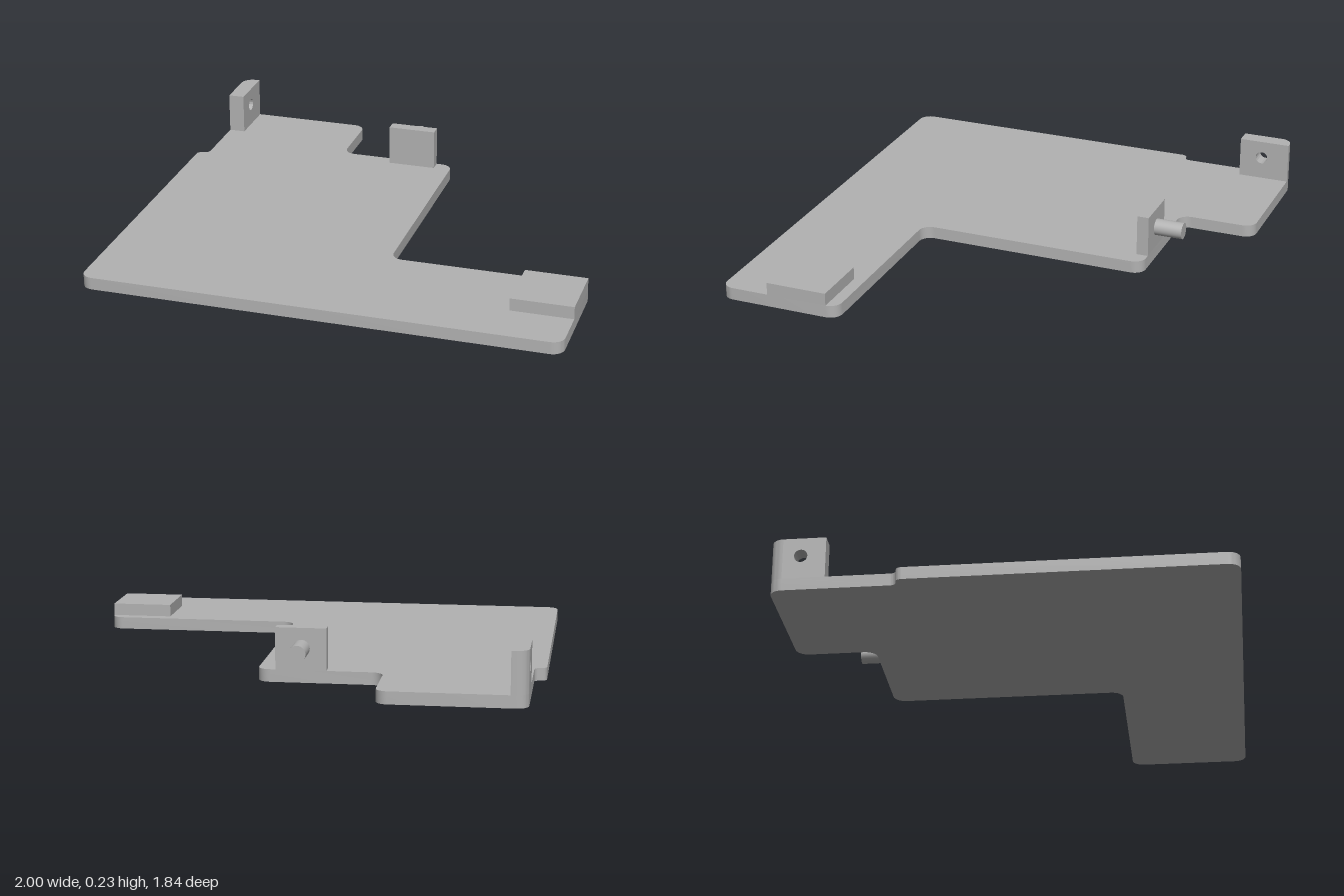
import * as THREE from 'three';
import { toCreasedNormals } from 'three/addons/utils/BufferGeometryUtils.js';

const PLATE = 0.052, TOP = 0.226;

// Right-angled outline from [x, z, radius] corners, each rounded by its radius
function roundedOutline(corners) {
  const pts = [];
  corners.forEach(([x, z, r], i) => {
    const p = new THREE.Vector2(x, -z);
    if (!r) return pts.push(p);
    const toward = (j) => {
      const [nx, nz] = corners[(j + corners.length) % corners.length];
      return new THREE.Vector2(nx, -nz).sub(p).normalize();
    };
    const prev = toward(i - 1), next = toward(i + 1);
    const c = p.clone().addScaledVector(prev, r).addScaledVector(next, r);
    for (let k = 0; k <= 8; k++) {
      const t = (k / 8) * Math.PI / 2;
      pts.push(c.clone().addScaledVector(next, -r * Math.cos(t)).addScaledVector(prev, -r * Math.sin(t)));
    }
  });
  return new THREE.Shape(pts);
}

// Raise a plan outline from y0 to y1
function slab(corners, y0, y1) {
  const geo = new THREE.ExtrudeGeometry(roundedOutline(corners), { depth: y1 - y0, bevelEnabled: false });
  return toCreasedNormals(geo.rotateX(-Math.PI / 2).translate(0, y0, 0), 0.5);
}

function block(x0, x1, y0, y1, z0, z1) {
  return new THREE.BoxGeometry(x1 - x0, y1 - y0, z1 - z0)
    .translate((x0 + x1) / 2, (y0 + y1) / 2, (z0 + z1) / 2);
}

export function createModel() {
  const group = new THREE.Group();
  const grey = new THREE.MeshStandardMaterial({ color: 0xb2b2b2 });
  grey.name = 'plain grey';
  const add = (name, geo, parent = group) => {
    const mesh = new THREE.Mesh(geo, grey);
    mesh.name = name;
    parent.add(mesh);
  };

  // Stepped base plate
  add('basePlate', slab([
    [-0.95, -0.922, 0.05], [-1, 0, 0], // placeholder order replaced below
  ].slice(0, 1).concat([
    [-0.95, -0.415, 0.025], [-1, -0.415, 0.025], [-1, 0.922, 0.05], [1, 0.922, 0.05],
    [1, 0.4, 0.05], [0.16, 0.4, 0.05], [0.16, -0.593, 0.05], [-0.355, -0.593, 0.05],
    [-0.355, -0.922, 0.05],
  ]), 0, PLATE));

  // Raised pad on the short arm
  add('pad', block(0.74, 1, PLATE, 0.105, 0.45, 0.712));

  // Upright tab with a pin pointing back
  add('pinTab', block(-0.122, 0.086, PLATE, TOP, -0.593, -0.543));
  add('pin', new THREE.CylinderGeometry(0.035, 0.035, 0.122, 32)
    .rotateX(Math.PI / 2).translate(-0.02, 0.142, -0.652));

  // Corner lug: drilled body plus an end that follows the plate's rounded corner
  const lug = new THREE.Group();
  lug.name = 'cornerLug';
  group.add(lug);
  const face = new THREE.Shape([[0.7, PLATE], [0.872, PLATE], [0.872, TOP], [0.7, TOP]]
    .map(([a, b]) => new THREE.Vector2(a, b)));
  face.holes.push(new THREE.Path().absarc(0.8, 0.149, 0.027, 0, Math.PI * 2, true));
  const body = new THREE.ExtrudeGeometry(face, { depth: 0.07, bevelEnabled: false, curveSegments: 24 });
  add('drilledBody', toCreasedNormals(body.rotateY(Math.PI / 2).translate(-0.95, 0, 0), 0.5), lug);
  add('roundedEnd', slab([
    [-0.95, -0.872, 0], [-0.88, -0.872, 0], [-0.88, -0.922, 0], [-0.95, -0.922, 0.05],
  ], PLATE, TOP), lug);

  return group;
}
